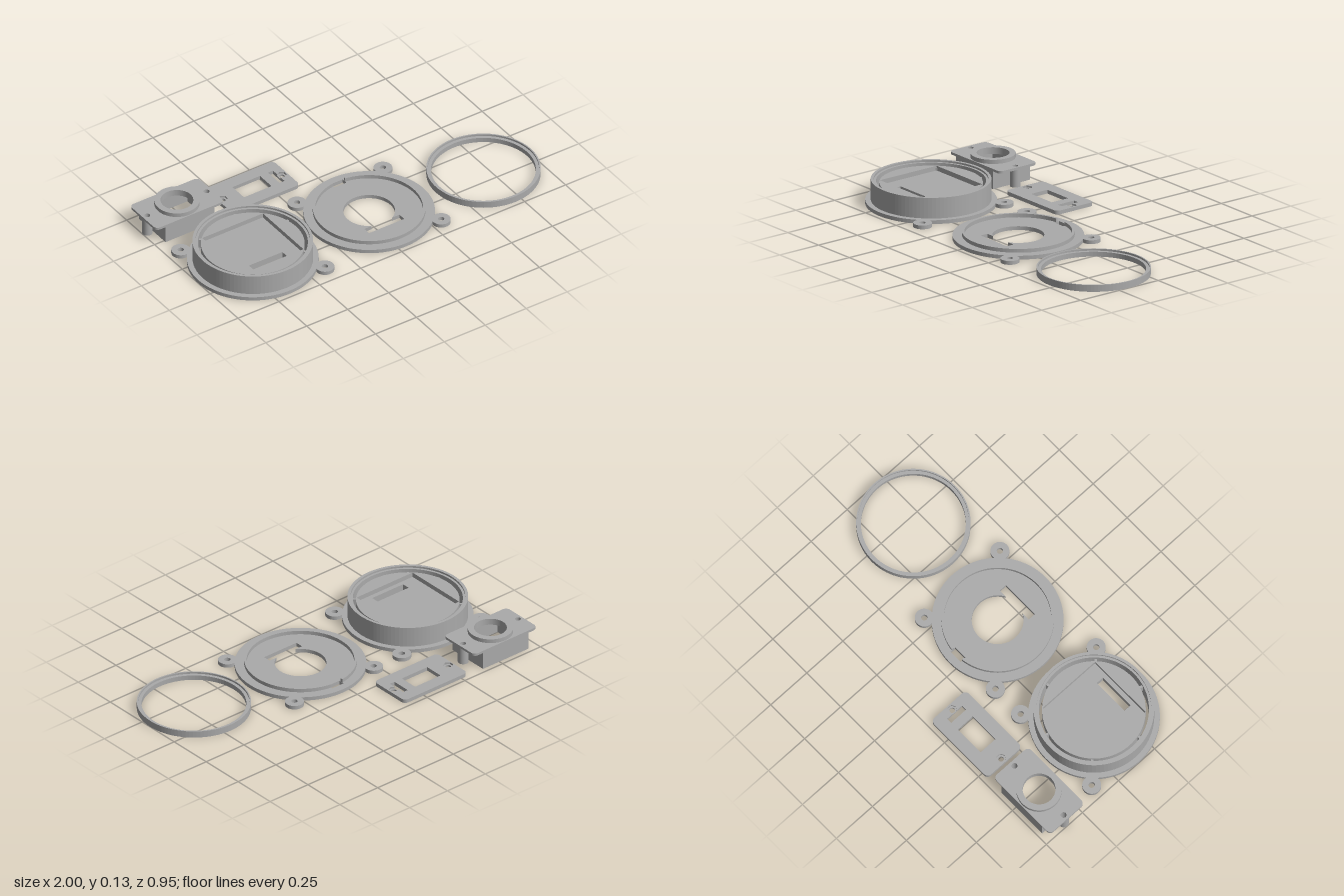
import * as THREE from 'three';

const grey = new THREE.MeshStandardMaterial({ color: 0xaaaaaa });
grey.name = 'grey plastic';

// Plan outlines are drawn as (x, z)
const disc = (r, x = 0, z = 0) => new THREE.Shape().absarc(x, z, r, 0, Math.PI * 2, false);
const poly = (pts) => new THREE.Shape(pts.map(([x, z]) => new THREE.Vector2(x, z)));
const rect = (x0, x1, z0, z1) => poly([[x0, z0], [x1, z0], [x1, z1], [x0, z1]]);

function roundRect(w, d, r) {
  const s = new THREE.Shape(), x = w / 2 - r, z = d / 2 - r;
  s.absarc(x, z, r, 0, Math.PI / 2);
  s.absarc(-x, z, r, Math.PI / 2, Math.PI);
  s.absarc(-x, -z, r, Math.PI, Math.PI * 1.5);
  s.absarc(x, -z, r, Math.PI * 1.5, Math.PI * 2);
  return s;
}

// Extrudes a plan outline with holes from y0 up to y1
function slab(parent, name, shape, holes, y0, y1) {
  shape.holes.push(...holes);
  const g = new THREE.ExtrudeGeometry(shape, { depth: y1 - y0, bevelEnabled: false, curveSegments: 48 });
  g.rotateX(Math.PI / 2).translate(0, y1, 0);
  const m = new THREE.Mesh(g, grey);
  m.name = name;
  parent.add(m);
  return m;
}

function group(parent, name, x, z) {
  const g = new THREE.Group();
  g.name = name;
  g.position.set(x, 0, z);
  parent.add(g);
  return g;
}

// Three screw ears around a round flange
function addEars(parent) {
  for (const [x, z] of [[-0.262, -0.262], [0.262, -0.262], [0.262, 0.262]])
    slab(parent, 'screwEar', disc(0.048, x, z), [disc(0.016, x, z)], 0, 0.02);
}

function buildCase(root) {
  const g = group(root, 'roundCase', -0.667, 0.143);
  slab(g, 'caseFlange', disc(0.333), [disc(0.278)], 0, 0.02);
  slab(g, 'caseWall', disc(0.305), [disc(0.278)], 0.02, 0.12);
  slab(g, 'caseRim', disc(0.305), [disc(0.29)], 0.12, 0.13);
  addEars(g);
  // Inner floor with a square pocket and a cable slot
  slab(g, 'caseFloor', disc(0.262), [rect(-0.102, 0.102, 0.115, 0.158)], 0.05, 0.085);
  slab(g, 'pocketSurround', disc(0.262), [rect(-0.185, 0.185, -0.182, 0.182)], 0.085, 0.11);
  // Small bridges holding the floor in the wall
  for (const deg of [45, 225, -16, 165, 105, -75]) {
    const m = slab(g, 'floorBridge', rect(0.255, 0.282, -0.006, 0.006), [], 0.05, 0.1);
    m.rotation.y = -deg * Math.PI / 180;
  }
}

function buildCover(root) {
  const g = group(root, 'coverPlate', 0.043, 0.143);
  // Round opening merged with a cable slot
  const a = Math.atan2(0.115, 0.063);
  const opening = new THREE.Path();
  opening.moveTo(0.063, 0.115);
  for (const [x, z] of [[0.107, 0.115], [0.107, 0.158], [-0.107, 0.158], [-0.107, 0.115]]) opening.lineTo(x, z);
  opening.absarc(0, 0, 0.131, Math.PI - a, Math.PI * 2 + a, false);
  slab(g, 'coverBase', disc(0.333), [opening, rect(-0.037, 0.037, -0.292, -0.259)], 0, 0.02);
  // Raised lip, open at the rear notch
  const lip = new THREE.Shape(), h = 0.133;
  lip.absarc(0, 0, 0.285, -Math.PI / 2 + h, Math.PI * 1.5 - h, false);
  lip.absarc(0, 0, 0.272, Math.PI * 1.5 - h, -Math.PI / 2 + h, true);
  slab(g, 'coverLip', lip, [], 0.02, 0.04);
  addEars(g);
}

function buildRing(root) {
  const g = group(root, 'retainingRing', 0.711, 0.187);
  slab(g, 'ringBase', disc(0.289), [disc(0.265)], 0, 0.026);
  slab(g, 'ringLip', disc(0.289), [disc(0.282)], 0.026, 0.036);
}

function buildSocket(root) {
  const g = group(root, 'socketHousing', -0.792, -0.355);
  const screws = [-0.181, 0.181];
  slab(g, 'socketPlate', roundRect(0.417, 0.24, 0.025),
    [disc(0.083), ...screws.map((x) => disc(0.015, x, 0))], 0.095, 0.108);
  slab(g, 'socketCollar', disc(0.115), [disc(0.083)], 0.108, 0.13);
  // Box open at the bottom, with a screw post at each end
  slab(g, 'socketBox', rect(-0.15, 0.15, -0.119, 0.119), [rect(-0.135, 0.135, -0.104, 0.104)], 0, 0.095);
  for (const x of screws) slab(g, 'screwPost', disc(0.027, x, 0), [disc(0.015, x, 0)], 0, 0.095);
}

function buildPanel(root) {
  const g = group(root, 'socketCover', -0.331, -0.355);
  const window = () => rect(-0.086, 0.082, -0.053, 0.051);
  slab(g, 'panelBase', roundRect(0.417, 0.24, 0.025),
    [window(), rect(0.131, 0.161, -0.053, 0.051), disc(0.014, 0.179, 0), disc(0.014, -0.181, 0)], 0, 0.01);
  // Upper layer with hexagonal nut recesses, one running into the slot
  const hex = [0, 1, 2, 3, 4, 5].map((i) => {
    const t = (i + 0.5) * Math.PI / 3;
    return [-0.181 + 0.026 * Math.cos(t), 0.026 * Math.sin(t)];
  });
  const slot = poly([[0.131, -0.053], [0.161, -0.053], [0.161, -0.015], [0.179, -0.025], [0.201, -0.0125],
    [0.201, 0.0125], [0.179, 0.025], [0.161, 0.015], [0.161, 0.051], [0.131, 0.051]]);
  slab(g, 'panelTop', roundRect(0.417, 0.24, 0.025), [window(), poly(hex), slot], 0.01, 0.02);
}

export function createModel() {
  const root = new THREE.Group();
  root.name = 'enclosureParts';
  buildCase(root);
  buildCover(root);
  buildRing(root);
  buildSocket(root);
  buildPanel(root);
  return root;
}
